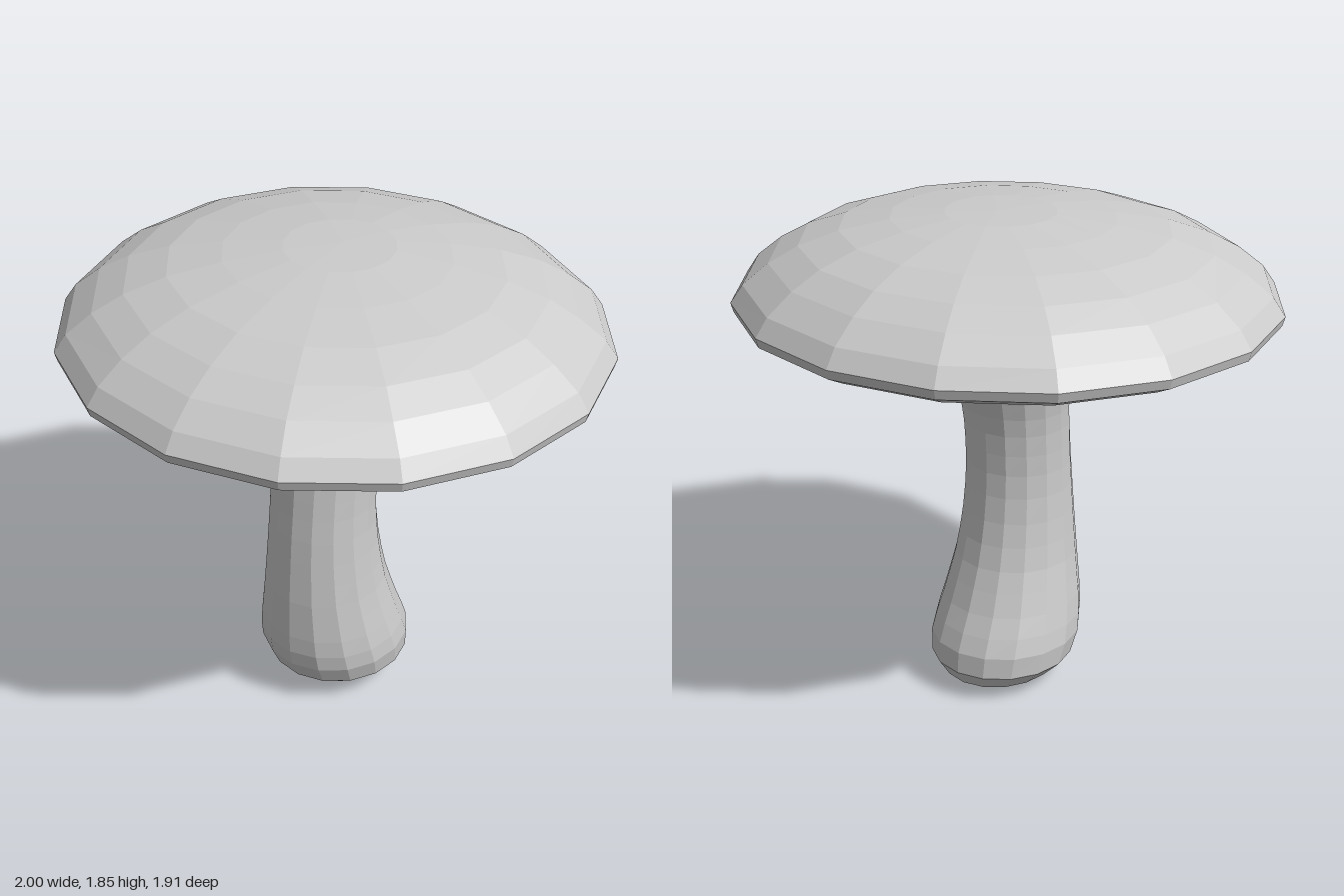
import * as THREE from 'three';

const SIDES = 16;

// Skins a stack of ellipses, bottom to top: [y, half width, half depth, centre z]
function loft(name, rows) {
  const positions = [];
  const index = [];
  rows.forEach(([y, rx, rz, zc]) => {
    for (let j = 0; j < SIDES; j++) {
      const a = (j / SIDES) * Math.PI * 2;
      positions.push(Math.sin(a) * rx, y, zc + Math.cos(a) * rz);
    }
  });
  for (let i = 0; i < rows.length - 1; i++) {
    for (let j = 0; j < SIDES; j++) {
      const k = (j + 1) % SIDES;
      const a = i * SIDES + j, b = i * SIDES + k;
      const c = b + SIDES, d = a + SIDES;
      if (rows[i][1] > 0) index.push(a, b, c);
      if (rows[i + 1][1] > 0) index.push(a, c, d);
    }
  }
  const geometry = new THREE.BufferGeometry();
  geometry.setAttribute('position', new THREE.Float32BufferAttribute(positions, 3));
  geometry.setIndex(index);
  geometry.computeVertexNormals();
  const material = new THREE.MeshStandardMaterial({ color: 0xcccccc, flatShading: true });
  const mesh = new THREE.Mesh(geometry, material);
  mesh.name = name;
  return mesh;
}

export function createModel() {
  const group = new THREE.Group();
  group.name = 'mushroom';

  // Bent stem with a rounded foot, each row [y, half width, front z, back z]
  const stem = [
    [0, 0, -0.05, -0.05],
    [0.015, 0.11, 0.07, -0.17],
    [0.05, 0.21, 0.185, -0.275],
    [0.107, 0.267, 0.25, -0.308],
    [0.19, 0.28, 0.29, -0.303],
    [0.26, 0.273, 0.302, -0.275],
    [0.335, 0.26, 0.304, -0.24],
    [0.42, 0.244, 0.302, -0.208],
    [0.5, 0.23, 0.3, -0.18],
    [0.59, 0.219, 0.294, -0.157],
    [0.68, 0.21, 0.288, -0.14],
    [0.78, 0.203, 0.28, -0.128],
    [0.87, 0.2, 0.27, -0.123],
    [0.95, 0.2, 0.262, -0.125],
    [1.03, 0.202, 0.253, -0.13],
    [1.1, 0.207, 0.245, -0.14],
    [1.165, 0.215, 0.236, -0.154],
    [1.21, 0.226, 0.231, -0.166],
    [1.25, 0.24, 0.228, -0.18],
    [1.3, 0.27, 0.23, -0.214],
  ].map(([y, rx, front, back]) => [y, rx, (front - back) / 2, (front + back) / 2]);
  group.add(loft('stem', stem));

  // Underside flaring from the stem, then rim and dome
  const cap = [
    stem[stem.length - 1],
    [1.33, 0.32, 0.277, 0.004],
    [1.36, 0.4, 0.36, 0],
    [1.4, 0.57, 0.535, 0],
    [1.43, 0.76, 0.72, 0],
    [1.465, 0.92, 0.88, 0],
    [1.5, 0.99, 0.947, 0],
    [1.535, 1, 0.957, 0],
    [1.6, 0.955, 0.912, 0],
    [1.675, 0.86, 0.82, 0],
    [1.735, 0.75, 0.712, -0.005],
    [1.787, 0.6, 0.57, -0.01],
    [1.823, 0.41, 0.39, -0.02],
    [1.845, 0.2, 0.2, -0.035],
    [1.85, 0, 0, -0.05],
  ];
  group.add(loft('cap', cap));

  return group;
}
